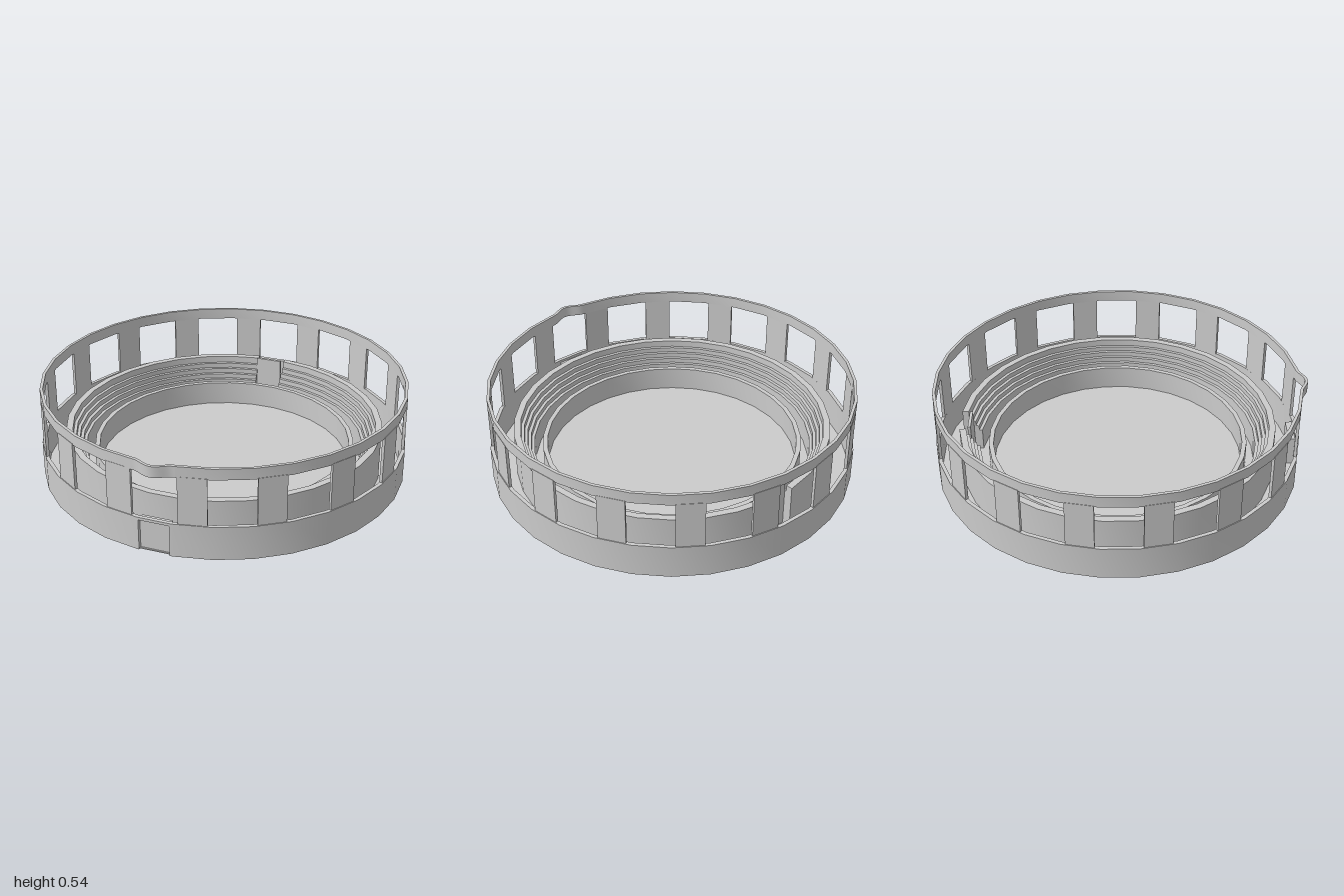
import * as THREE from 'three';
import { toCreasedNormals } from 'three/addons/utils/BufferGeometryUtils.js';

const RAD = Math.PI / 180;

export function createModel() {
  const arena = new THREE.Group();
  arena.name = 'arena';
  const material = new THREE.MeshStandardMaterial({ color: 0xcccccc, side: THREE.DoubleSide });

  function add(name, geometry) {
    const mesh = new THREE.Mesh(geometry, material);
    mesh.name = name;
    arena.add(mesh);
    return mesh;
  }

  // Curved block between two radii, two heights and two angles in degrees (0 = front, 90 = +x)
  function curvedBlock(name, rIn, rOut, y0, y1, a0, a1, step = 11.25, bulge = () => 0) {
    const angles = [a0];
    for (let a = (Math.floor(a0 / step) + 1) * step; a < a1 - 0.01; a += step) angles.push(a);
    angles.push(a1);
    const point = (r, a) => {
      const rr = r + bulge(a);
      return new THREE.Vector2(rr * Math.sin(a * RAD), -rr * Math.cos(a * RAD));
    };
    const outline = angles.map((a) => point(rOut, a));
    outline.push(...angles.slice().reverse().map((a) => point(rIn, a)));
    const geometry = new THREE.ExtrudeGeometry(new THREE.Shape(outline), { depth: y1 - y0, bevelEnabled: false });
    geometry.rotateX(-Math.PI / 2);
    geometry.translate(0, y0, 0);
    return add(name, toCreasedNormals(geometry, 0.6));
  }

  // Floor disc
  const floor = new THREE.CylinderGeometry(0.975, 0.975, 0.006, 32);
  floor.translate(0, 0.043, 0);
  add('floor', floor);

  // Base wall with a doorway at the front, and the recessed door
  curvedBlock('baseWall', 0.965, 0.985, 0.04, 0.225, 10, 360.6);
  curvedBlock('doorLintel', 0.965, 0.985, 0.21, 0.225, 0.6, 10);
  const door = add('door', new THREE.BoxGeometry(0.16, 0.17, 0.035));
  const doorAngle = 5.3 * RAD;
  door.position.set(0.945 * Math.sin(doorAngle), 0.125, 0.945 * Math.cos(doorAngle));
  door.rotation.y = doorAngle;

  // Sixteen pillars with open windows between them
  for (let i = 0; i < 16; i++) {
    const a = 5.4 + 11.25 + i * 22.5;
    curvedBlock('pillar', 0.963, 0.979, 0.22, 0.485, a - 4.25, a + 4.25);
  }

  // Top ring, bowed outward above the door
  const bow = (a) => {
    const d = Math.abs(a - 5.4) / 6.2;
    return d < 1 ? 0.034 * Math.cos((d * Math.PI) / 2) ** 2 : 0;
  };
  curvedBlock('topRing', 0.963, 0.979, 0.48, 0.54, 12, 358.8);
  curvedBlock('topRingBow', 0.963, 0.979, 0.48, 0.54, -1.2, 12, 1, bow);

  // Seating tiers stepping down to the centre, open at the back gap
  const radii = [0.855, 0.82, 0.803, 0.786, 0.769, 0.752];
  const heights = [0.29, 0.252, 0.225, 0.198, 0.171];
  heights.forEach((h, i) => curvedBlock('seatTier', radii[i + 1], radii[i], 0.04, h, -169, 180));

  // Low wall around the arena floor
  curvedBlock('arenaWall', 0.68, 0.705, 0.04, 0.18, 0, 360);

  // Upright gate panel in the gap, reaching just below the floor
  const gate = add('gatePanel', new THREE.BoxGeometry(0.146, 0.3, 0.016));
  gate.position.set(-0.082, 0.15, -0.795);
  gate.rotation.y = 5.5 * RAD;

  arena.position.z = -0.013;
  const model = new THREE.Group();
  model.name = 'model';
  model.add(arena);
  return model;
}
